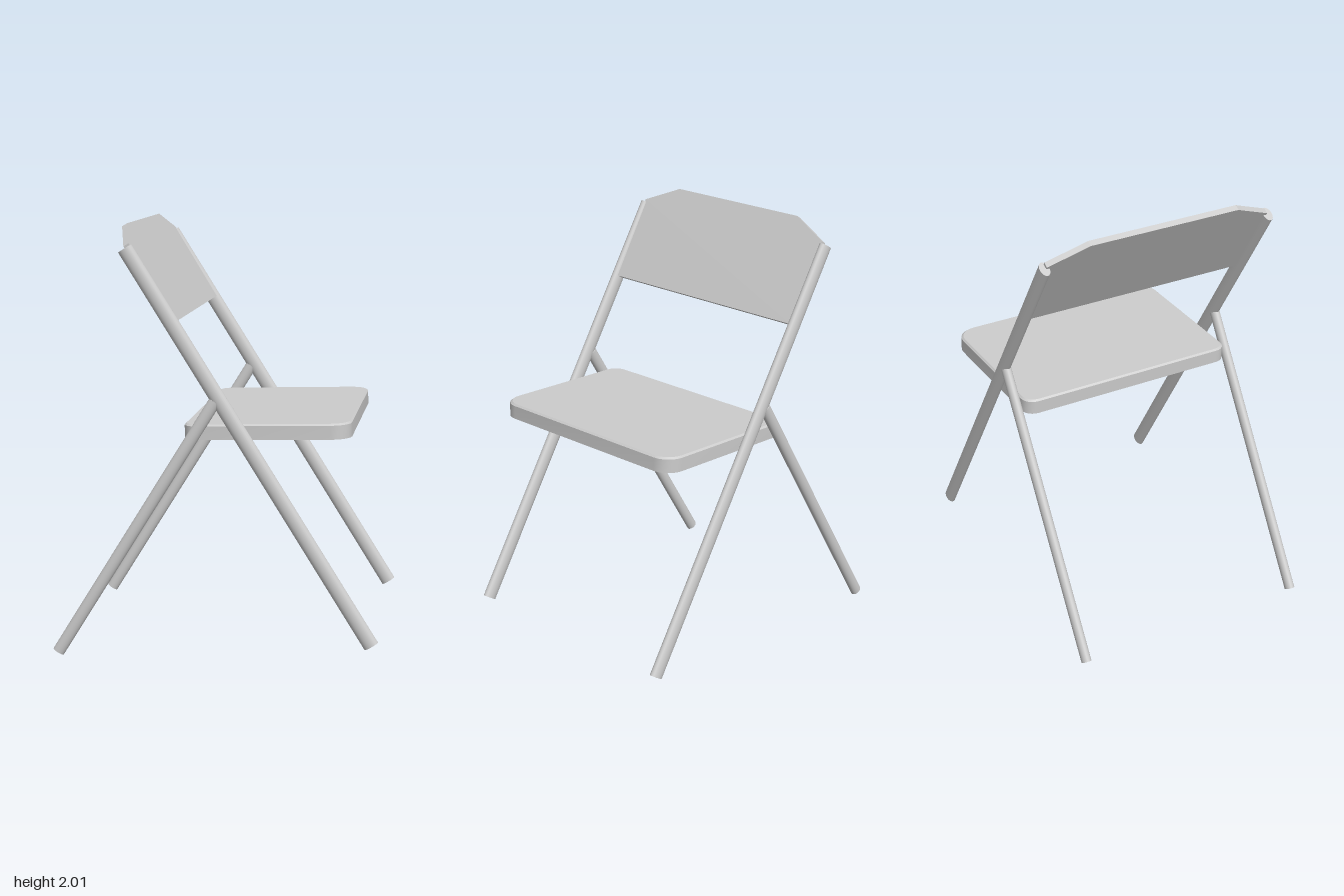
import * as THREE from 'three';
import { toCreasedNormals } from 'three/addons/utils/BufferGeometryUtils.js';

const material = new THREE.MeshStandardMaterial({ color: 0xcccccc });

function addMesh(parent, geometry, name) {
  const mesh = new THREE.Mesh(geometry, material);
  mesh.name = name;
  parent.add(mesh);
  return mesh;
}

// Oval tube between two points of the side plane (x forward, y up)
function addLeg(parent, name, [x0, y0], [x1, y1], width, z) {
  const dx = x1 - x0, dy = y1 - y0;
  const geometry = new THREE.CylinderGeometry(0.5, 0.5, Math.hypot(dx, dy), 24);
  geometry.scale(width, 1, 0.046);
  const leg = addMesh(parent, geometry, name);
  leg.position.set((x0 + x1) / 2, (y0 + y1) / 2, z);
  leg.rotation.z = -Math.atan2(dx, dy);
}

// Rounded rectangle, with its own corner radius at the back and the front
function seatOutline(hx, hz, backR, frontR) {
  const corners = [[hx, hz, frontR, 0], [-hx, hz, backR, 1], [-hx, -hz, backR, 2], [hx, -hz, frontR, 3]];
  const points = [];
  for (const [x, z, r, quarter] of corners) {
    for (let i = 0; i <= 6; i++) {
      const a = (quarter + i / 6) * Math.PI / 2;
      points.push([x - Math.sign(x) * r + r * Math.cos(a), z - Math.sign(z) * r + r * Math.sin(a)]);
    }
  }
  return points;
}

// Seat pan: rings from the middle of the top, over the rim, to the recessed underside
function seatGeometry(hx, hz) {
  const outline = seatOutline(hx, hz, 0.06, 0.09);
  const rings = [[null, 0.036], [0.008, 0.036], [0, 0.028], [0, -0.036], [0.012, -0.036], [0.08, -0.004], [null, -0.004]]
    .map(([inset, y]) => outline.map(([x, z]) => inset === null
      ? [0, y, 0]
      : [x * (1 - inset / hx), y, z * (1 - inset / hz)]));
  const positions = [];
  for (let r = 0; r < rings.length - 1; r++) {
    const a = rings[r], b = rings[r + 1];
    for (let i = 0; i < outline.length; i++) {
      const j = (i + 1) % outline.length;
      if (r > 0) positions.push(...a[i], ...a[j], ...b[j]);
      if (r < rings.length - 2) positions.push(...a[i], ...b[j], ...b[i]);
    }
  }
  const geometry = new THREE.BufferGeometry();
  geometry.setAttribute('position', new THREE.Float32BufferAttribute(positions, 3));
  return toCreasedNormals(geometry, 0.6);
}

// Back panel with cut upper corners, drawn across (x) and up the slope (y)
function backrestGeometry() {
  const shape = new THREE.Shape([
    [-0.57, 0], [0.57, 0], [0.57, 0.41], [0.41, 0.485], [0.38, 0.5],
    [-0.38, 0.5], [-0.41, 0.485], [-0.57, 0.41],
  ].map(([x, y]) => new THREE.Vector2(x, y)));
  const geometry = new THREE.ExtrudeGeometry(shape, { depth: 0.028, bevelEnabled: false });
  geometry.translate(0, 0, -0.014);
  const up = new THREE.Vector3(-0.263, 0.43, 0).normalize();
  const across = new THREE.Vector3(0, 0, 1);
  const normal = new THREE.Vector3().crossVectors(across, up);
  geometry.applyMatrix4(new THREE.Matrix4().makeBasis(across, up, normal).setPosition(-0.182, 1.573, 0));
  return geometry;
}

export function createModel() {
  const model = new THREE.Group();
  model.name = 'foldingChair';

  // The chair looks along its own +x and stands turned on the floor
  const chair = new THREE.Group();
  chair.name = 'chair';
  chair.rotation.y = 0.405;
  model.add(chair);

  // Crossed legs on both sides; the front legs run up to carry the backrest
  for (const z of [-0.577, 0.577]) {
    addLeg(chair, 'frontLeg', [0.73, 0.108], [-0.4, 1.907], 0.072, z);
    addLeg(chair, 'rearLeg', [-0.737, 0.015], [0.008, 1.222], 0.057, z);
  }

  // Seat, rising slightly towards the front
  const seat = addMesh(chair, seatGeometry(0.383, 0.552), 'seat');
  seat.position.set(0.238, 1.083, 0);
  seat.rotation.z = 0.032;

  addMesh(chair, backrestGeometry(), 'backrest');
  return model;
}
